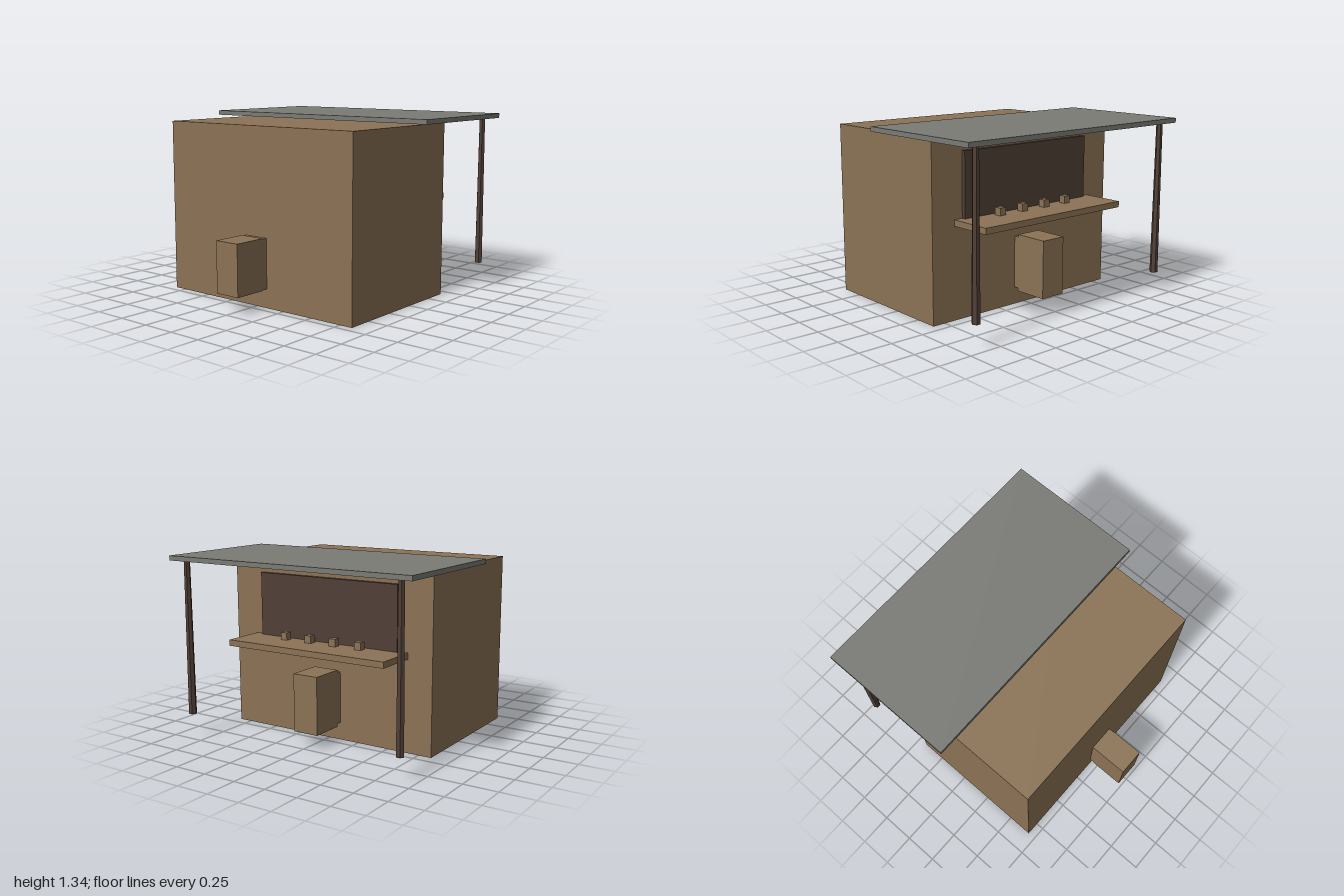
import * as THREE from 'three';

const timber = new THREE.MeshStandardMaterial({ name: 'timber brown', color: 0x8b7355 });
const darkWood = new THREE.MeshStandardMaterial({ name: 'dark wood', color: 0x503f36 });
const slate = new THREE.MeshStandardMaterial({ name: 'slate grey', color: 0x7a7b75 });

// Box given by its extents on each axis
function box(name, material, [x0, x1], [y0, y1], [z0, z1]) {
  const mesh = new THREE.Mesh(new THREE.BoxGeometry(x1 - x0, y1 - y0, z1 - z0), material);
  mesh.position.set((x0 + x1) / 2, (y0 + y1) / 2, (z0 + z1) / 2);
  mesh.name = name;
  return mesh;
}

export function createModel() {
  const model = new THREE.Group();
  model.name = 'stall';

  // Main block and the canopy behind it
  model.add(box('body', timber, [-0.85, 0.85], [0, 1.29], [-0.425, 0.69]));
  model.add(box('canopy', slate, [-1, 1], [1.305, 1.34], [-0.985, 0.055]));

  // Serving hatch and counter
  model.add(box('hatch', darkWood, [-0.59, 0.59], [0.72, 1.19], [-0.455, -0.42]));
  model.add(box('counter', timber, [-0.66, 0.66], [0.675, 0.72], [-0.752, -0.42]));

  // Row of small blocks on the counter
  for (let i = 0; i < 4; i++) {
    const x = (i - 1.5) * 0.213;
    model.add(box('counterBlock', timber, [x - 0.027, x + 0.027], [0.72, 0.775], [-0.543, -0.489]));
  }

  // Protruding boxes on short necks, front and back
  model.add(box('frontNeck', timber, [-0.098, 0.098], [0.14, 0.505], [0.68, 0.74]));
  model.add(box('frontBox', timber, [-0.1, 0.1], [0.135, 0.51], [0.73, 0.985]));
  model.add(box('backNeck', timber, [-0.098, 0.098], [0.13, 0.513], [-0.47, -0.42]));
  model.add(box('backBox', timber, [-0.1, 0.1], [0.108, 0.533], [-0.722, -0.464]));

  // Tapered faceted posts under the canopy
  const postGeometry = new THREE.CylinderGeometry(0.023, 0.03, 1.14, 6).toNonIndexed();
  postGeometry.rotateY(Math.PI / 6);
  postGeometry.computeVertexNormals();
  for (const side of [-1, 1]) {
    const post = new THREE.Mesh(postGeometry, darkWood);
    post.name = side > 0 ? 'leftPost' : 'rightPost';
    post.position.set(side * 0.89, 0.735, -0.922);
    model.add(post);
  }
  return model;
}
